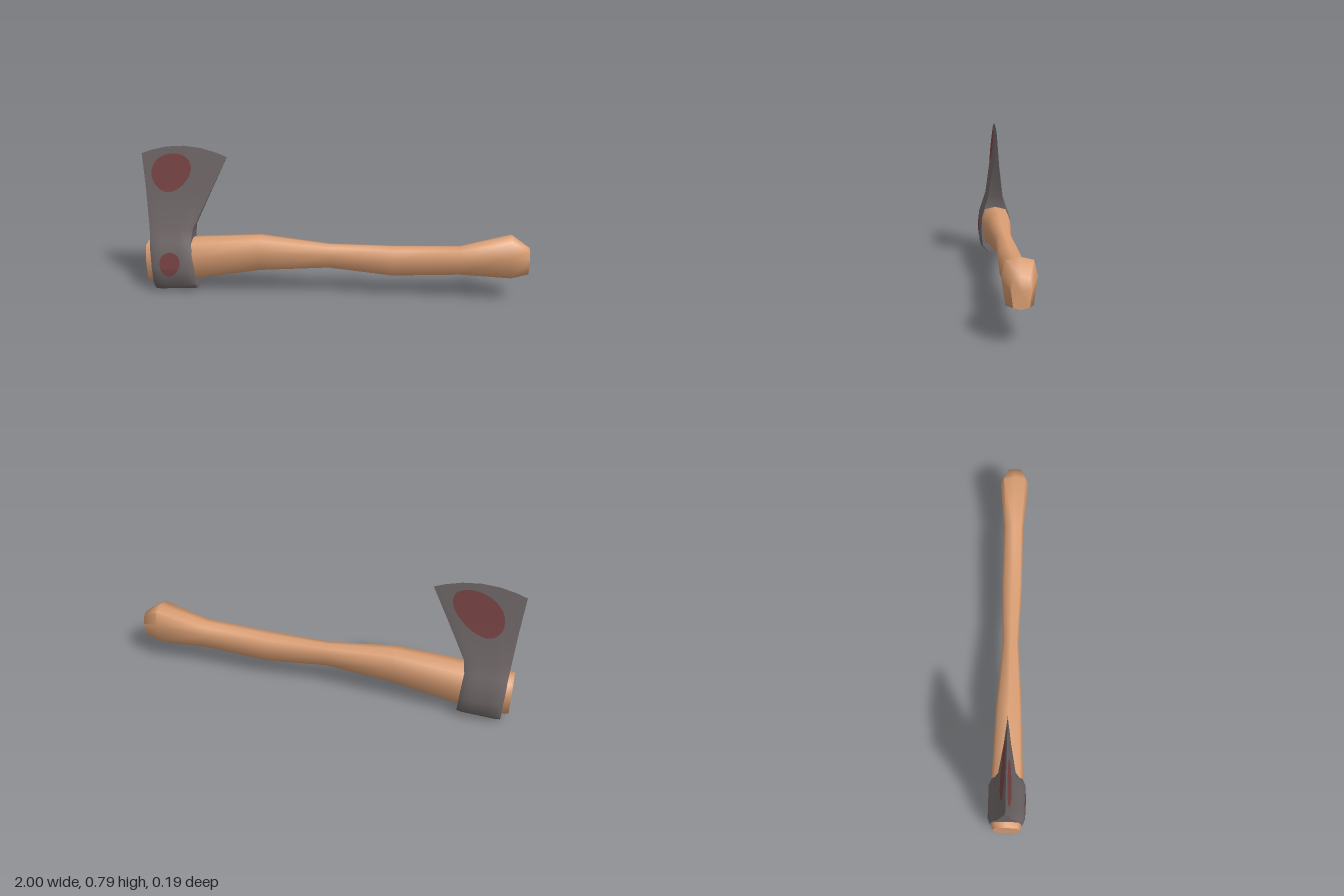
import * as THREE from 'three';
import { toCreasedNormals } from 'three/addons/utils/BufferGeometryUtils.js';

const wood = new THREE.MeshStandardMaterial({ color: 0xdb9f74 });
wood.name = 'wood';
const steel = new THREE.MeshStandardMaterial({ color: 0x726969 });
steel.name = 'steel';
const red = new THREE.MeshStandardMaterial({ color: 0x7c4646 });
red.name = 'darkRed';

// Skin a list of rings (arrays of [x, y, z]); caps close the first and last ring
function loft(rings, crease, capEnd) {
  const n = rings[0].length;
  const pos = rings.flat(2);
  const index = [];
  for (let i = 0; i < rings.length - 1; i++) {
    for (let j = 0; j < n; j++) {
      const a = i * n + j, b = i * n + (j + 1) % n;
      index.push(a, b, a + n, b, b + n, a + n);
    }
  }
  const cap = (i, flip) => {
    const c = pos.length / 3;
    for (let k = 0; k < 3; k++) pos.push(rings[i].reduce((s, p) => s + p[k], 0) / n);
    for (let j = 0; j < n; j++) {
      const a = i * n + j, b = i * n + (j + 1) % n;
      index.push(c, flip ? b : a, flip ? a : b);
    }
  };
  cap(0, true);
  if (capEnd) cap(rings.length - 1, false);
  const g = new THREE.BufferGeometry();
  g.setAttribute('position', new THREE.Float32BufferAttribute(pos, 3));
  g.setIndex(index);
  return toCreasedNormals(g, crease);
}

// Handle: x, bottom, top, half depth
const HANDLE = [
  [-1, 0.055, 0.27, 0.07], [-0.98, 0.05, 0.275, 0.075], [-0.74, 0.068, 0.297, 0.08],
  [-0.39, 0.13, 0.32, 0.068], [-0.03, 0.155, 0.283, 0.042], [0.3, 0.125, 0.283, 0.054],
  [0.65, 0.145, 0.295, 0.053], [0.91, 0.138, 0.365, 0.078], [1, 0.16, 0.302, 0.045],
];
const OVAL = [[0, 1], [0.77, 0.87], [1, 0.25], [0.77, -0.85], [0, -1],
  [-0.77, -0.85], [-1, 0.25], [-0.77, 0.87]];

function handleGeometry() {
  const rings = HANDLE.map(([x, lo, hi, w]) =>
    OVAL.map(([z, y]) => [x, (lo + hi) / 2 + y * (hi - lo) / 2, z * w]));
  return loft(rings, 1.25, true);
}

// Head: height, half thickness, back x, front x, tilt of the row, bulge of the row
const HEAD = [
  [0.003, 0.01, -0.963, -0.735, 0.014, 0], [0.01, 0.047, -0.963, -0.735, 0.012, 0],
  [0.055, 0.085, -0.965, -0.738, 0.005, 0], [0.145, 0.095, -0.967, -0.743, 0, 0],
  [0.24, 0.088, -0.97, -0.75, 0, 0], [0.29, 0.071, -0.971, -0.754, 0, 0],
  [0.36, 0.048, -0.975, -0.742, 0, 0], [0.56, 0.02, -0.986, -0.644, 0, 0.01],
  [0.75, 0, -1, -0.555, -0.01, 0.05],
];
const COLUMNS = [0, 0.12, 0.3, 0.5, 0.7, 0.88, 1];
const rowY = (row, u) => row[0] + row[4] * u + row[5] * 4 * u * (1 - u);

function headGeometry() {
  const rings = HEAD.map((row) => {
    const [, w, x0, x1] = row;
    const side = (s) => COLUMNS.map((u) =>
      [x0 + (x1 - x0) * u, rowY(row, u), s * w * (u === 0 || u === 1 ? 0.88 : 1)]);
    return [...side(1), ...side(-1).reverse()];
  });
  return loft(rings, 0.9, false);
}

// Half thickness of the head at a point on its side
function thicknessAt(x, y) {
  for (let i = 0; i < HEAD.length - 1; i++) {
    const a = HEAD[i], b = HEAD[i + 1];
    const u = (x - (a[2] + b[2]) / 2) / ((a[3] + b[3] - a[2] - b[2]) / 2);
    const ya = rowY(a, u), yb = rowY(b, u);
    if (y <= yb) return a[1] + (b[1] - a[1]) * (y - ya) / (yb - ya);
  }
  return 0;
}

// Egg-shaped paint spot that follows the side of the head
function spotGeometry(cx, cy, rx, ry, lean, side) {
  const SEG = 28, RINGS = 6;
  const pos = [], index = [];
  for (let r = 0; r <= RINGS; r++) {
    for (let k = 0; k < SEG; k++) {
      const t = (k / SEG) * Math.PI * 2, f = r / RINGS;
      const dy = Math.sin(t) * ry * f;
      const dx = Math.cos(t) * rx * f * (1 + 0.15 * Math.sin(t)) + lean * dy;
      const x = cx + dx, y = cy + dy;
      pos.push(x, y, side * (thicknessAt(x, y) + 0.003));
      if (r < RINGS) {
        const a = r * SEG + k, b = r * SEG + (k + 1) % SEG;
        const quad = [a, a + SEG, b, b, a + SEG, b + SEG];
        index.push(...(side > 0 ? quad : quad.reverse()));
      }
    }
  }
  const g = new THREE.BufferGeometry();
  g.setAttribute('position', new THREE.Float32BufferAttribute(pos, 3));
  g.setIndex(index);
  g.computeVertexNormals();
  return g;
}

export function createModel() {
  const group = new THREE.Group();
  group.name = 'axe';
  const add = (name, geometry, material) => {
    const mesh = new THREE.Mesh(geometry, material);
    mesh.name = name;
    group.add(mesh);
  };
  add('handle', handleGeometry(), wood);
  add('axeHead', headGeometry(), steel);
  add('bladeSpotFront', spotGeometry(-0.85, 0.653, 0.102, 0.102, 0.2, 1), red);
  add('bladeSpotBack', spotGeometry(-0.79, 0.63, 0.12, 0.125, 0.4, -1), red);
  add('pollSpotFront', spotGeometry(-0.867, 0.17, 0.054, 0.068, 0.1, 1), red);
  return group;
}
